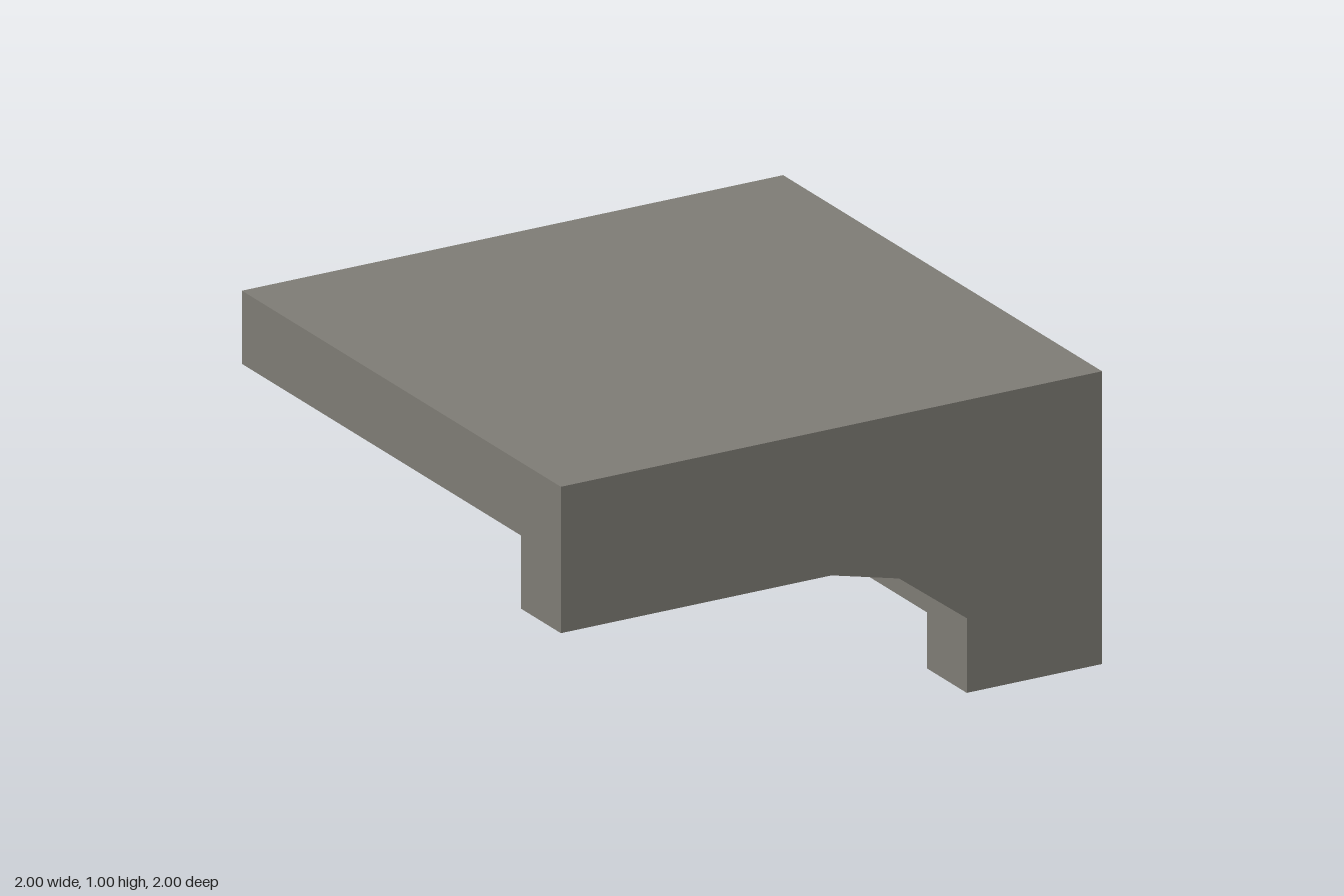
import * as THREE from 'three';

export function createModel() {
  const group = new THREE.Group();
  group.name = 'archedCornerBlock';
  const stone = new THREE.MeshStandardMaterial({ color: 0x7d7b74 });
  stone.name = 'grey stone';

  // Extrudes an x-y outline from zBack to zFront
  function slab(name, outline, zBack, zFront) {
    const shape = new THREE.Shape(outline.map(([x, y]) => new THREE.Vector2(x, y)));
    const geometry = new THREE.ExtrudeGeometry(shape, { depth: zFront - zBack, bevelEnabled: false });
    geometry.translate(0, 0, zBack);
    const mesh = new THREE.Mesh(geometry, stone);
    mesh.name = name;
    group.add(mesh);
  }

  // Thin roof joined to the left side wall, open behind
  slab('roofAndSideWall', [
    [-1, 0.75], [0.75, 0.75], [0.75, 0], [1, 0], [1, 1], [-1, 1],
  ], -1, 0.75);

  // Front panel: deep lintel, faceted half arch and pier
  slab('frontArch', [
    [-1, 0.5], [0, 0.5], [0.25, 0.44], [0.5, 0.255], [0.5, 0], [1, 0], [1, 1], [-1, 1],
  ], 0.75, 1);

  return group;
}
